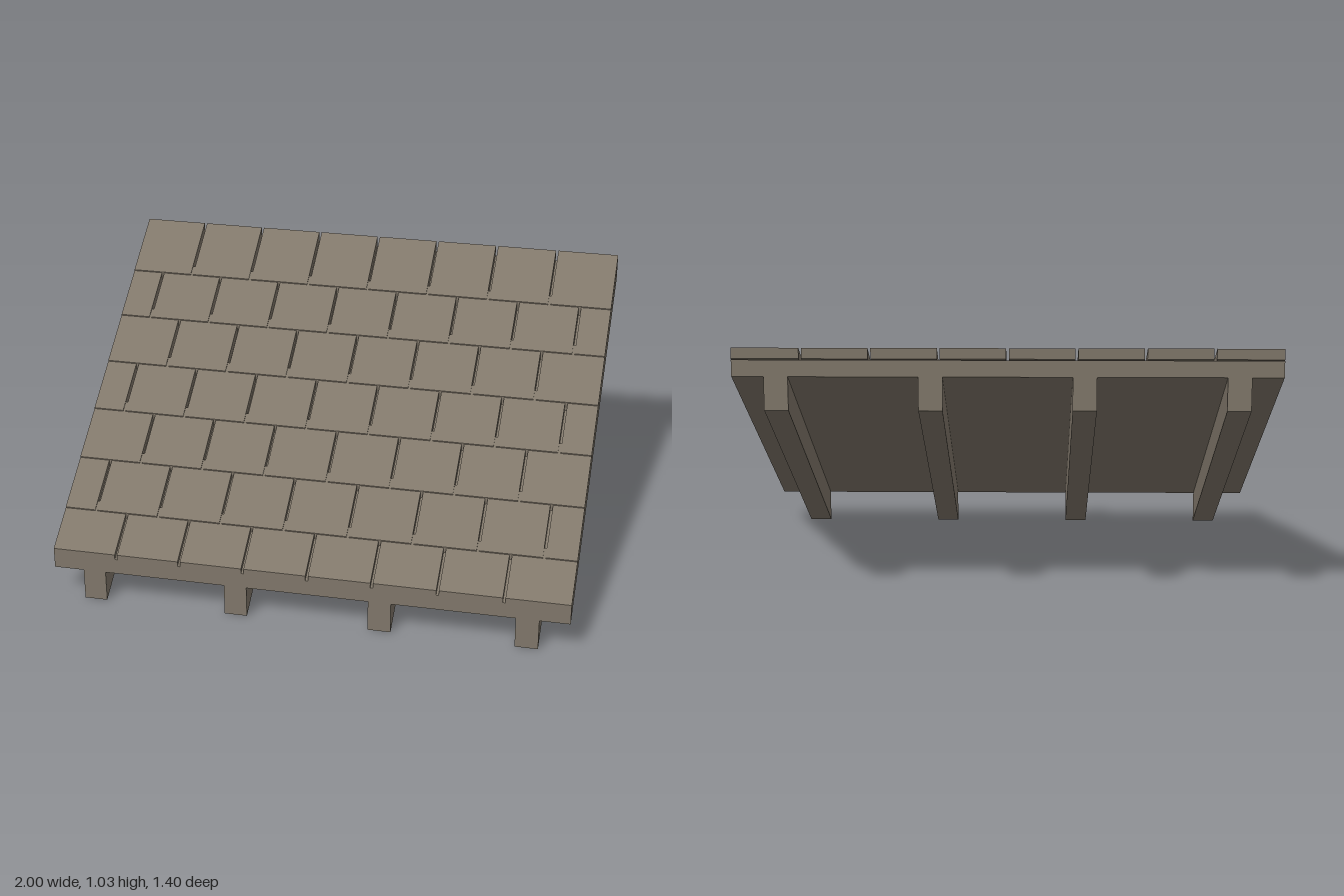
import * as THREE from 'three';

const SLOPE = 0.8 / 1.4; // rise per unit of depth
const DEPTH = 0.7;       // half depth of the roof

// Height of a sloped plane that has height y0 at the front eave
const heightAt = (y0, z) => y0 + (DEPTH - z) * SLOPE;

// Box sheared along the slope: ends stay vertical, y0 is its bottom at the eave
function slopedBox(name, material, x0, x1, zBack, zFront, y0, thickness) {
  const geometry = new THREE.BoxGeometry(x1 - x0, thickness, zFront - zBack);
  geometry.translate((x0 + x1) / 2, thickness / 2, (zBack + zFront) / 2);
  const p = geometry.attributes.position;
  for (let i = 0; i < p.count; i++) {
    p.setY(i, p.getY(i) + heightAt(y0, p.getZ(i)));
  }
  geometry.computeVertexNormals();
  const mesh = new THREE.Mesh(geometry, material);
  mesh.name = name;
  return mesh;
}

export function createModel() {
  const roof = new THREE.Group();
  roof.name = 'roofSection';

  const weatheredWood = new THREE.MeshStandardMaterial({ color: 0x80776a });
  weatheredWood.name = 'weatheredWood';

  // Deck under the shingles
  const deckBottom = 0.125, deckTop = 0.187;
  roof.add(slopedBox('deck', weatheredWood, -1, 1, -DEPTH, DEPTH, deckBottom, deckTop - deckBottom));

  // Rafters below the deck
  for (const x of [-0.84, -0.28, 0.28, 0.84]) {
    roof.add(slopedBox('rafter', weatheredWood, x - 0.044, x + 0.044, -DEPTH, DEPTH, 0, deckBottom));
  }

  // Staggered, overlapping shingle rows, each a little higher than the last
  const rows = 7, pitch = 0.25, gap = 0.01;
  for (let r = 0; r < rows; r++) {
    const row = new THREE.Group();
    row.name = 'shingleRow';
    const zBack = 0.5 - r * 0.2;
    const zFront = Math.min(DEPTH, zBack + 0.24);
    const bottom = deckTop - 0.0197 + r * 0.004;
    const start = r % 2 ? -1 - pitch / 2 : -1;
    for (let x = start; x < 1; x += pitch) {
      const x0 = Math.max(-1, x + gap / 2);
      const x1 = Math.min(1, x + pitch - gap / 2);
      // outermost shingles run flush to the roof edge
      const left = x0 < -0.99 ? -1 : x0;
      const right = x1 > 0.99 ? 1 : x1;
      row.add(slopedBox('shingle', weatheredWood, left, right, zBack, zFront, bottom, 0.04));
    }
    roof.add(row);
  }

  return roof;
}
